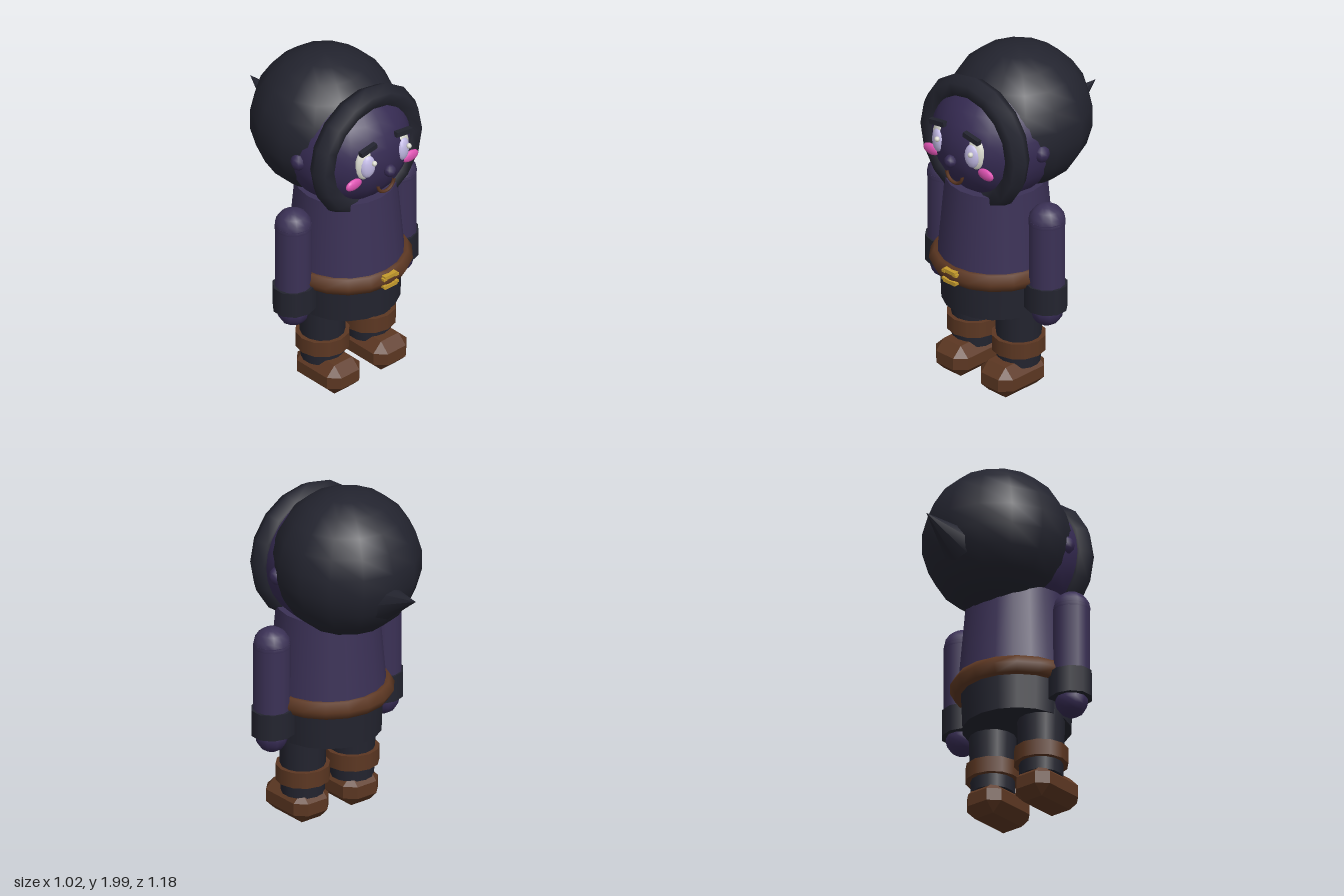
import * as THREE from 'three';
import { ConvexGeometry } from 'three/addons/geometries/ConvexGeometry.js';

function mat(name, color) {
  const m = new THREE.MeshStandardMaterial({ color });
  m.name = name;
  return m;
}

// Box with every edge and corner cut off by c
function chamferedBox(hx, hy, hz, c) {
  const pts = [];
  for (const x of [-1, 1]) for (const y of [-1, 1]) for (const z of [-1, 1]) {
    pts.push(new THREE.Vector3(x * hx, y * (hy - c), z * (hz - c)));
    pts.push(new THREE.Vector3(x * (hx - c), y * hy, z * (hz - c)));
    pts.push(new THREE.Vector3(x * (hx - c), y * (hy - c), z * hz));
  }
  return new ConvexGeometry(pts);
}

export function createModel() {
  const skin = mat('skin purple', 0x362b53);
  const tunic = mat('tunic purple', 0x3b3156);
  const cloth = mat('dark cloth', 0x23242f);
  const leather = mat('brown leather', 0x5c3722);
  const white = mat('eye white', 0xdcdcd2);
  const lavender = mat('iris lavender', 0xc3bbe6);
  const pink = mat('cheek pink', 0xe054b4);
  const gold = mat('buckle gold', 0xc49a2c);

  const model = new THREE.Group();
  const Z = 0.19; // depth of the body axis

  function add(name, geometry, material, x, y, z, scale) {
    const mesh = new THREE.Mesh(geometry, material);
    mesh.name = name;
    mesh.position.set(x, y, z);
    if (scale) mesh.scale.set(...scale);
    model.add(mesh);
    return mesh;
  }
  const ball = (r, w = 12, h = 8) => new THREE.SphereGeometry(r, w, h);
  const tube = (top, bottom, height, sides = 16) =>
    new THREE.CylinderGeometry(top, bottom, height, sides);

  // Torso, hips and belt
  add('torso', tube(0.285, 0.33, 0.51, 20), tunic, 0, 1.005, Z);
  add('hips', tube(0.315, 0.305, 0.25, 18), cloth, 0, 0.625, Z);
  add('belt', new THREE.TorusGeometry(0.318, 0.057, 6, 18), leather, 0, 0.75, Z)
    .rotation.set(Math.PI / 2, 0, Math.PI / 2, 'YXZ');
  for (const s of [-1, 1]) {
    add('buckleBar', new THREE.BoxGeometry(0.09, 0.022, 0.03), gold, 0, 0.75 + s * 0.031, 0.548);
    for (const e of [-1, 1])
      add('buckleEnd', new THREE.BoxGeometry(0.025, 0.015, 0.03), gold, e * 0.043, 0.75 + s * 0.024, 0.55);
  }

  // Head, hood, hood rim and hood tip
  add('head', ball(0.37, 20, 14), skin, 0, 1.53, 0.175);
  add('hood', ball(0.42, 14, 11), cloth, 0, 1.58, 0.02).rotation.y = Math.PI / 2;
  add('hoodRim', new THREE.TorusGeometry(0.33, 0.07, 6, 16), cloth, 0, 1.53, 0.357);
  add('hoodTip', new THREE.ConeGeometry(0.106, 0.3, 8), cloth, 0, 1.5, -0.449).rotation.x = -1.232;

  // Nose and smile
  add('nose', ball(0.037, 8, 6), skin, 0, 1.48, 0.55);
  add('mouth', new THREE.TorusGeometry(0.06, 0.01, 6, 14, Math.PI), leather, 0, 1.39, 0.518)
    .rotation.z = Math.PI;

  for (const s of [-1, 1]) {
    // Face details
    add('eyeWhite', ball(1), white, s * 0.139, 1.555, 0.492, [0.06, 0.098, 0.032]).rotation.y = s * 0.25;
    add('iris', ball(1), lavender, s * 0.133, 1.548, 0.513, [0.048, 0.072, 0.028]).rotation.y = s * 0.25;
    add('eyeGlint', ball(0.016, 8, 6), white, s * 0.13 + 0.02, 1.573, 0.544);
    add('eyebrow', new THREE.BoxGeometry(0.115, 0.03, 0.03), cloth, s * 0.132, 1.66, 0.515)
      .rotation.z = -s * 0.15;
    add('cheek', ball(1), pink, s * 0.212, 1.45, 0.487, [0.06, 0.034, 0.018]);
    add('ear', ball(0.047, 8, 6), skin, s * 0.355, 1.525, 0.192, [1, 1.1, 1]);

    // Arm, cuff and hand
    add('arm', tube(0.104, 0.104, 0.5, 12), tunic, s * 0.395, 0.88, Z);
    add('shoulder', ball(0.106, 12, 8), tunic, s * 0.395, 1.115, Z);
    add('sleeveCuff', tube(0.13, 0.13, 0.155, 10), cloth, s * 0.385, 0.652, Z, [1, 1, 0.9]);
    add('hand', ball(0.092, 10, 8), skin, s * 0.395, 0.557, Z);

    // Leg, boot cuff and shoe
    add('leg', tube(0.135, 0.122, 0.4, 14), cloth, s * 0.175, 0.36, Z);
    add('bootCuff', tube(0.153, 0.153, 0.093, 12), leather, s * 0.175, 0.282, Z);
    add('shoe', chamferedBox(0.124, 0.094, 0.18, 0.058), leather, s * 0.175, 0.1, 0.238);
  }

  // Stand the shoes exactly on the ground
  model.children.forEach((m) => { m.position.y -= 0.003; });
  return model;
}
